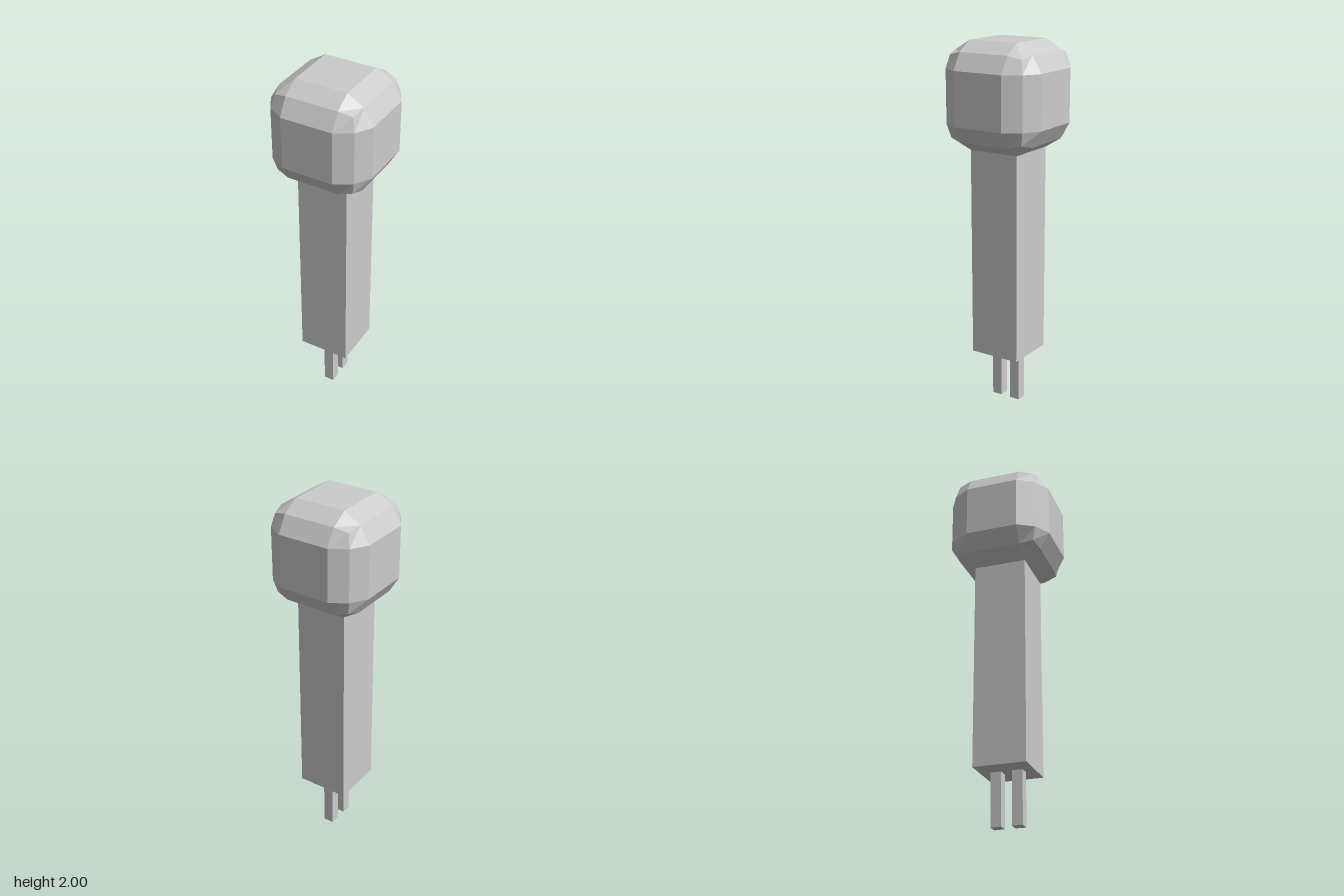
import * as THREE from 'three';

const U = 2 / 7; // base module: head half-width, leg height
const material = new THREE.MeshStandardMaterial({ color: 0xcccccc, flatShading: true });

function addBox(parent, name, size, position) {
  const mesh = new THREE.Mesh(new THREE.BoxGeometry(...size), material);
  mesh.name = name;
  mesh.position.set(...position);
  parent.add(mesh);
}

// Cube with two-step bevels: a 3x3x3 box whose face, edge and corner points are pulled to set distances
function bevelledCube(half) {
  const geometry = new THREE.BoxGeometry(3, 3, 3, 3, 3, 3);
  const outer = [0, half, half * 0.812, half * 0.752]; // by number of outer coordinates: face, edge, corner
  const p = geometry.attributes.position;
  for (let i = 0; i < p.count; i++) {
    const v = [p.getX(i), p.getY(i), p.getZ(i)];
    const isOuter = (c) => Math.abs(c) > 1;
    const reach = outer[v.filter(isOuter).length];
    p.setXYZ(i, ...v.map((c) => Math.sign(c) * (isOuter(c) ? reach : half / 2)));
  }
  geometry.computeVertexNormals();
  return geometry;
}

export function createModel() {
  const model = new THREE.Group();
  model.name = 'bulbOnPost';

  // Rounded head on top
  const head = new THREE.Mesh(bevelledCube(U), material);
  head.name = 'head';
  head.position.y = 6 * U;
  model.add(head);

  // Square post
  addBox(model, 'post', [U, 4 * U, U], [0, 3 * U, 0]);

  // Two thin legs, front and back
  for (const side of [1, -1]) {
    addBox(model, side > 0 ? 'frontLeg' : 'backLeg', [U / 5, U, U / 5], [0, U / 2, side * U / 5]);
  }
  return model;
}
